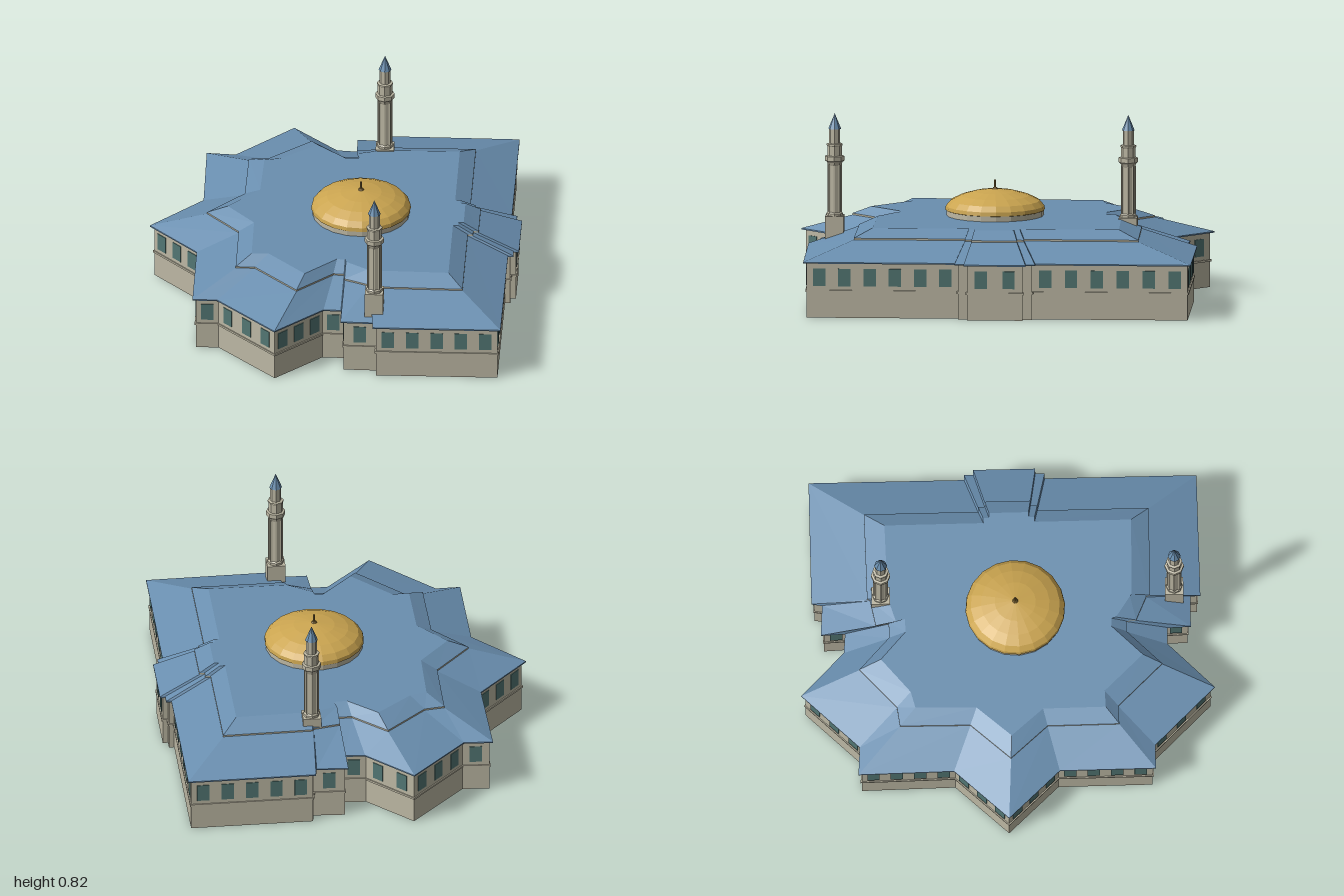
import * as THREE from 'three';

const mat = (name, color, side = THREE.FrontSide) => {
  const m = new THREE.MeshStandardMaterial({ color, side });
  m.name = name;
  m.flatShading = true;
  return m;
};

// Main roof corners, clockwise from above: eave x, z and ridge x, z
const CORNERS = [
  [0.905, -0.58, 0.555, -0.37],
  [0.27, 0.99, 0.155, 0.63],
  [-0.25, 0.785, -0.165, 0.495],
  [-0.235, 0.745, -0.17, 0.485],
  [-0.365, 0.69, -0.235, 0.39],
  [-0.33, 0.595, -0.232, 0.37],
  [-0.4, 0.565, -0.265, 0.355],
  [-0.665, 0.675, -0.44, 0.43],
  [-0.81, 0.33, -0.53, 0.21],
  [-0.91, 0.29, -0.6, 0.185],
  [-0.755, -0.1, -0.5, -0.07],
  [-0.87, -0.39, -0.56, -0.245],
  [-0.575, -0.525, -0.38, -0.335],
  [-0.425, -0.915, -0.275, -0.58],
  [-0.31, -0.86, -0.2, -0.57],
  [0.01, -1, -0.01, -0.63],
  [0.12, -0.75, 0.065, -0.48],
  [0.2, -0.71, 0.12, -0.46],
  [0.235, -0.81, 0.125, -0.5],
  [0.36, -0.75, 0.24, -0.49],
  [0.385, -0.79, 0.245, -0.488],
];

const mix = (a, b, t) => [a[0] + (b[0] - a[0]) * t, a[1] + (b[1] - a[1]) * t];

// Outline through the main corners, with a bay stepping out twice on the first side
function outline(k) {
  const pts = CORNERS.map((c) => [c[k], c[k + 1]]);
  const [a, b] = pts;
  const len = Math.hypot(b[0] - a[0], b[1] - a[1]);
  const out = [(b[1] - a[1]) / len, (a[0] - b[0]) / len];
  const steps = [0, 1, 1, 2, 2, 1, 1, 0].map((level, i) => {
    const t = [0.401, 0.425, 0.585, 0.609][i >> 1];
    const p = mix(a, b, t);
    return [p[0] + out[0] * level * 0.023, p[1] + out[1] * level * 0.023];
  });
  return [a, ...steps, ...pts.slice(1)];
}

// Move an outline inward by d, with mitred corners
function inset(pts, d) {
  const n = pts.length;
  const inward = (a, b) => {
    const l = Math.hypot(b[0] - a[0], b[1] - a[1]);
    return [-(b[1] - a[1]) / l, (b[0] - a[0]) / l];
  };
  return pts.map((p, i) => {
    const u = inward(pts[(i + n - 1) % n], p), v = inward(p, pts[(i + 1) % n]);
    const s = d / Math.max(0.5, 1 + u[0] * v[0] + u[1] * v[1]);
    return [p[0] + (u[0] + v[0]) * s, p[1] + (u[1] + v[1]) * s];
  });
}
const toShape = (pts) => new THREE.Shape(pts.map(([x, z]) => new THREE.Vector2(x, -z)));

// Upright slab over an outline
function slab(pts, y0, y1) {
  return new THREE.ExtrudeGeometry(toShape(pts), { depth: y1 - y0, bevelEnabled: false })
    .rotateX(-Math.PI / 2).translate(0, y0, 0);
}

// Band of quads joining two outlines at different heights
function band(low, y0, high, y1) {
  const pos = [];
  low.forEach((p, i) => {
    const j = (i + 1) % low.length;
    const a = [p[0], y0, p[1]], b = [low[j][0], y0, low[j][1]];
    const c = [high[i][0], y1, high[i][1]], d = [high[j][0], y1, high[j][1]];
    pos.push(...b, ...a, ...c, ...b, ...c, ...d);
  });
  const g = new THREE.BufferGeometry();
  g.setAttribute('position', new THREE.Float32BufferAttribute(pos, 3));
  g.computeVertexNormals();
  return g;
}

export function createModel() {
  const wall = mat('stone wall', 0xbdb8a4);
  const roof = mat('blue roof', 0x6a8fb0, THREE.DoubleSide);
  const glass = mat('window teal', 0x527673);
  const gold = mat('dome gold', 0xcba550);
  const bronze = mat('finial bronze', 0x8c7038);
  const root = new THREE.Group();
  const add = (name, geo, m, parent = root) => {
    const mesh = new THREE.Mesh(geo, m);
    mesh.name = name;
    parent.add(mesh);
    return mesh;
  };
  const lathe = (pts, seg) => new THREE.LatheGeometry(pts.map((p) => new THREE.Vector2(...p)), seg);

  // Walls with a string course
  const eave = outline(0), ridge = outline(2);
  const ledge = eave.map((p, i) => mix(p, ridge[i], 0.73));
  const walls = inset(eave, 0.014);
  add('walls', slab(walls, 0, 0.242), wall);
  add('stringCourse', slab(inset(eave, 0.009), 0.113, 0.122), wall);

  // Roof: eaves, two pitches split by a low ledge, flat top
  add('eaves', slab(eave, 0.24, 0.246), roof);
  add('lowerRoof', band(eave, 0.246, ledge, 0.32), roof);
  add('roofLedge', band(ledge, 0.32, ledge, 0.327), wall);
  add('upperRoof', band(ledge, 0.327, ridge, 0.363), roof);
  add('flatRoof', new THREE.ShapeGeometry(toShape(ridge)).rotateX(-Math.PI / 2).translate(0, 0.363, 0), roof);

  // Evenly spaced windows along each long wall
  const windows = new THREE.Group();
  windows.name = 'windows';
  root.add(windows);
  const pane = new THREE.BoxGeometry(0.054, 0.077, 0.006);
  walls.forEach((a, i) => {
    const b = walls[(i + 1) % walls.length];
    const dx = b[0] - a[0], dz = b[1] - a[1], len = Math.hypot(dx, dz);
    if (len < 0.09) return;
    const count = Math.max(1, Math.round(len / 0.108));
    for (let k = 0; k < count; k++) {
      const [x, z] = mix(a, b, (k + 0.5) / count);
      const w = add('window', pane, glass, windows);
      w.position.set(x, 0.178, z);
      w.rotation.y = Math.atan2(dz, -dx);
    }
  });

  // Central dome on a low drum
  const dome = new THREE.Group();
  dome.name = 'dome';
  dome.position.set(-0.03, 0, 0);
  root.add(dome);
  add('drum', new THREE.CylinderGeometry(0.213, 0.213, 0.03, 20).translate(0, 0.375, 0), wall, dome);
  add('domeShell', lathe([[0.21, 0.385], [0.218, 0.388], [0.215, 0.405], [0.195, 0.428],
    [0.15, 0.45], [0.09, 0.467], [0.001, 0.48]], 20), gold, dome);
  add('finial', new THREE.CylinderGeometry(0.004, 0.006, 0.045, 8).translate(0, 0.495, 0), bronze, dome);
  add('finialFoot', new THREE.CylinderGeometry(0.008, 0.014, 0.008, 8).translate(0, 0.481, 0), bronze, dome);

  // Two minarets on square pedestals
  [[0.26, -0.515], [-0.205, 0.68]].forEach(([x, z]) => {
    const tower = new THREE.Group();
    tower.name = 'minaret';
    tower.position.set(x, 0, z);
    tower.rotation.y = -0.385;
    root.add(tower);
    add('pedestal', new THREE.BoxGeometry(0.08, 0.115, 0.08).translate(0, 0.312, 0), wall, tower);
    add('shaft', lathe([[0.036, 0.368], [0.036, 0.38], [0.029, 0.386], [0.029, 0.59], [0.034, 0.605],
      [0.042, 0.612], [0.042, 0.632], [0.032, 0.634], [0.032, 0.676], [0.035, 0.68], [0.035, 0.686],
      [0.024, 0.688], [0.024, 0.755]], 8), wall, tower);
    // Slim corner ribs up the shaft
    for (let k = 0; k < 8; k++) {
      const a = (k * Math.PI) / 4;
      add('shaftRib', new THREE.BoxGeometry(0.007, 0.21, 0.007)
        .translate(Math.sin(a) * 0.029, 0.49, Math.cos(a) * 0.029), wall, tower);
    }
    add('spire', new THREE.ConeGeometry(0.028, 0.068, 8).translate(0, 0.786, 0), roof, tower);
  });
  return root;
}
